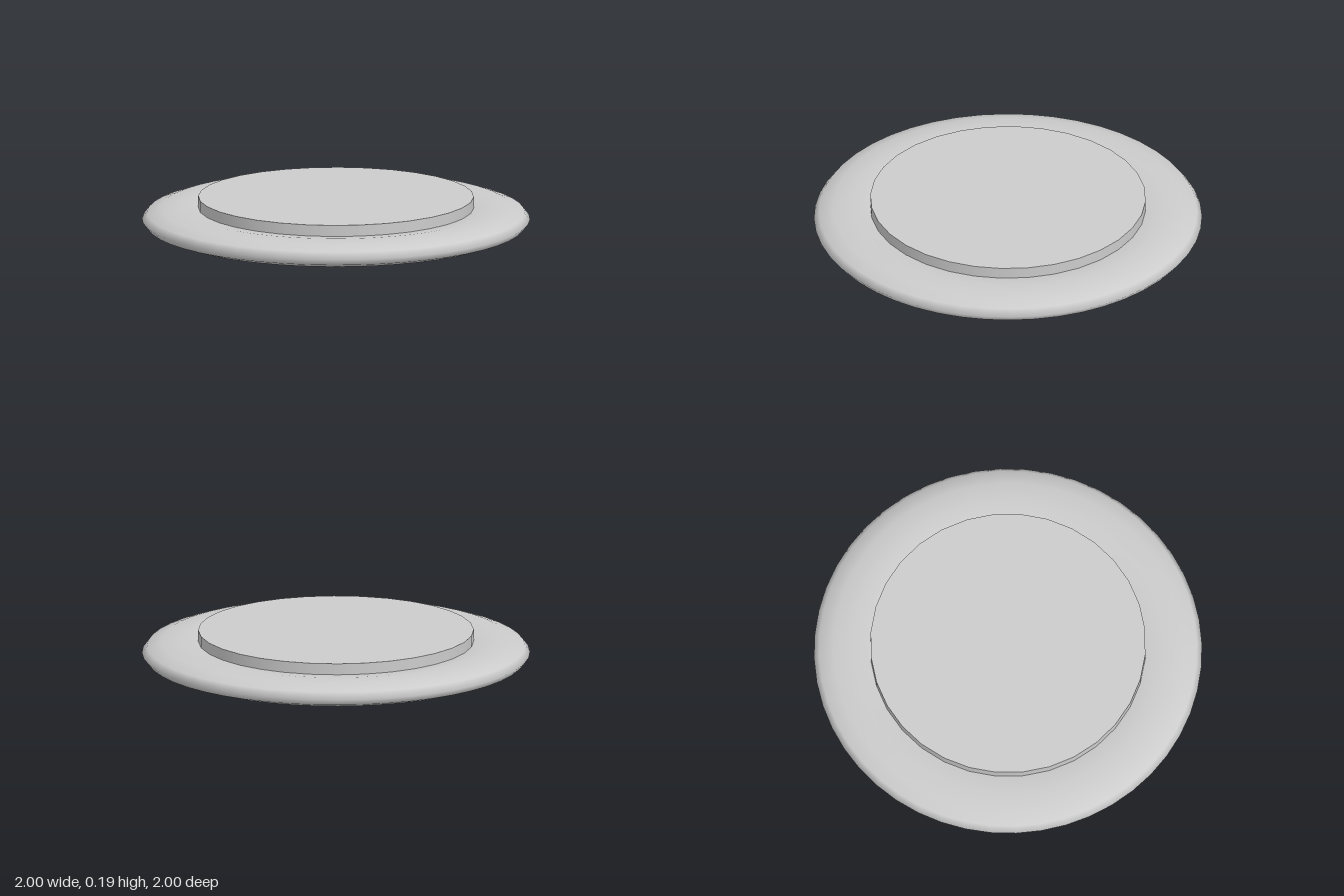
import * as THREE from 'three';

export function createModel() {
  const group = new THREE.Group();
  const material = new THREE.MeshStandardMaterial({ color: 0xcccccc });

  // Flattened rounded ring around the edge
  const ringHalfHeight = 0.068;
  const ringGeometry = new THREE.TorusGeometry(0.8, 0.2, 12, 48);
  ringGeometry.rotateX(-Math.PI / 2);
  ringGeometry.scale(1, ringHalfHeight / 0.2, 1);
  const ring = new THREE.Mesh(ringGeometry, material);
  ring.name = 'roundedRim';
  ring.position.y = ringHalfHeight;
  group.add(ring);

  // Disc filling the ring and standing proud of its top
  const bottom = 0.016;
  const top = 0.186;
  const disc = new THREE.Mesh(new THREE.CylinderGeometry(0.71, 0.71, top - bottom, 32), material);
  disc.name = 'centreDisc';
  disc.position.y = (top + bottom) / 2;
  group.add(disc);

  return group;
}
